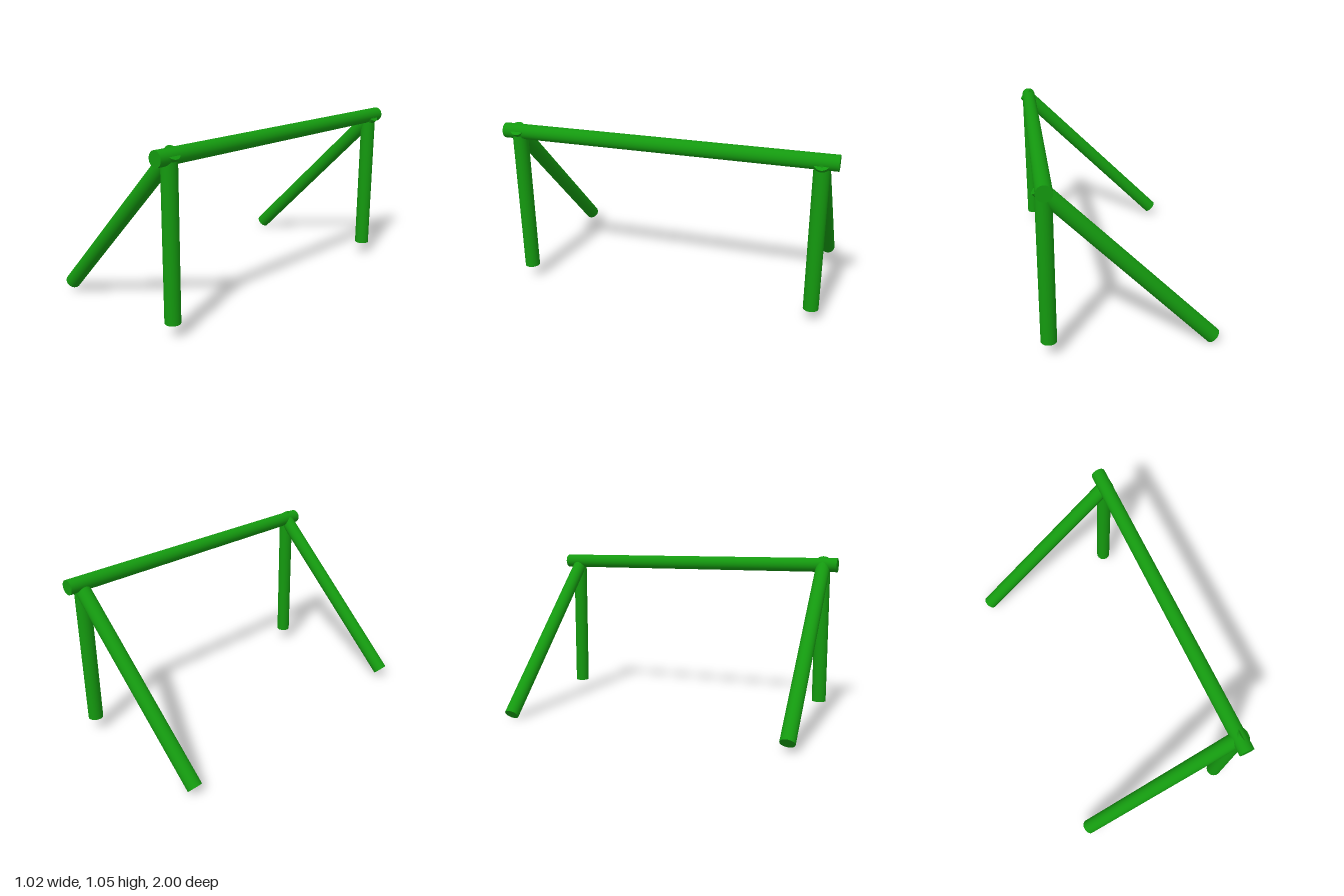
import * as THREE from 'three';

const RADIUS = 0.0455;

export function createModel() {
  const group = new THREE.Group();
  const green = new THREE.MeshStandardMaterial({ color: 0x14990f });

  // A round pole running between two end points
  function pole(name, from, to) {
    const a = new THREE.Vector3(...from);
    const b = new THREE.Vector3(...to);
    const dir = b.clone().sub(a);
    const mesh = new THREE.Mesh(new THREE.CylinderGeometry(RADIUS, RADIUS, dir.length(), 32), green);
    mesh.position.copy(a).add(b).multiplyScalar(0.5);
    mesh.quaternion.setFromUnitVectors(new THREE.Vector3(0, 1, 0), dir.normalize());
    mesh.name = name;
    group.add(mesh);
  }

  // Top bar
  pole('crossbar', [0.452, 0.995, -1], [0.452, 0.995, 1]);

  // Upright and sloping brace at each end; the front brace sits slightly higher
  for (const [end, z, lift] of [['front', 0.907, 0.024], ['back', -0.907, 0]]) {
    pole(end + 'Post', [0.452, 0.086, z], [0.452, 0.99, z]);
    pole(end + 'Brace', [-0.48, 0.034 + lift, z], [0.48, 0.996 + lift, z]);
  }
  return group;
}
